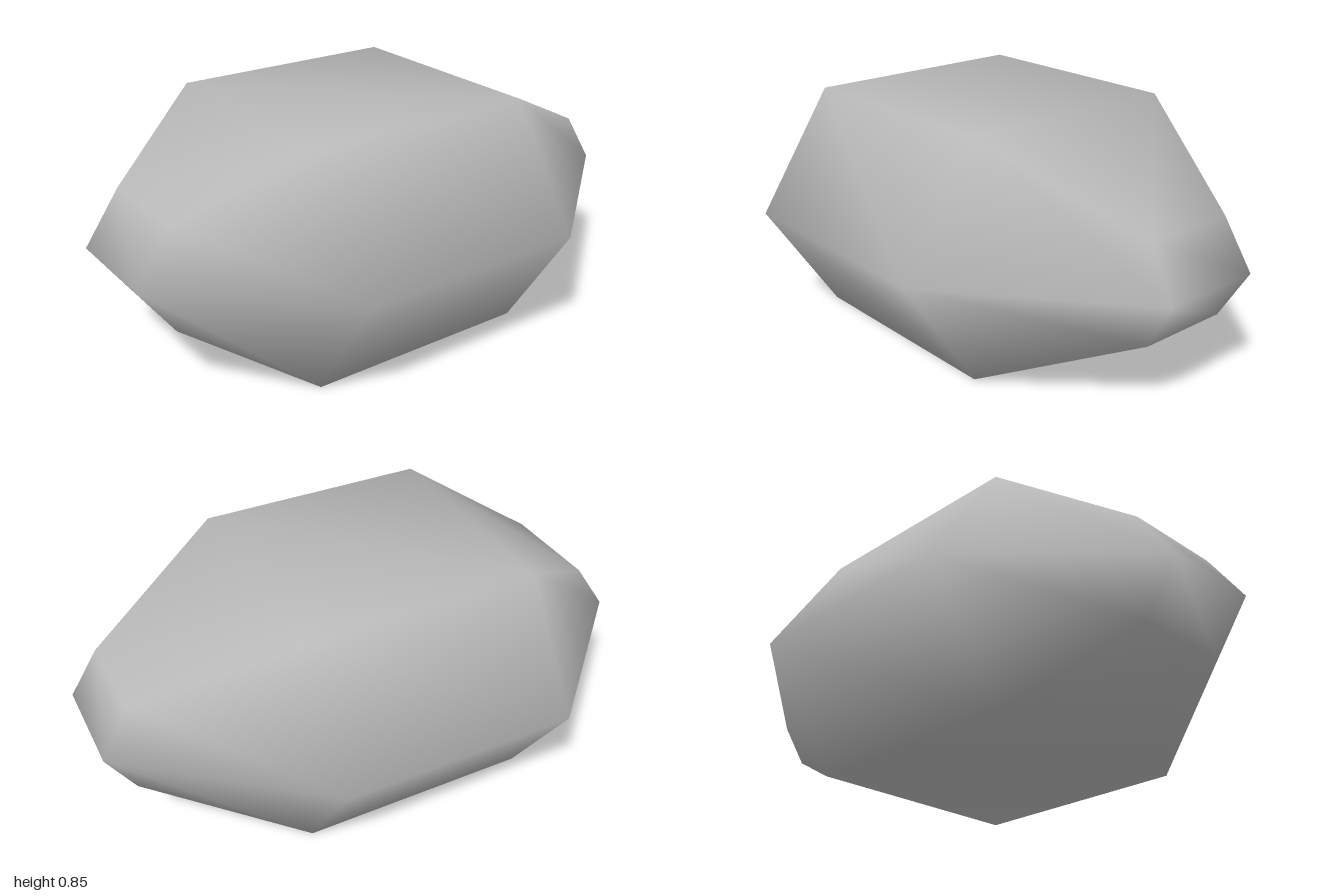
import * as THREE from 'three';

// Hexagonal cross-section: flat top and bottom, ridges at mid height.
// x of the flats, x of the ridges, bottom y, top y, half depth of flats, half depth of ridges
const MID = 0.423;
function ring(xFlat, xRidge, bottom, top, zFlat, zRidge) {
  return [
    [xFlat, top, zFlat], [xRidge, MID, zRidge], [xFlat, bottom, zFlat],
    [xFlat, bottom, -zFlat], [xRidge, MID, -zRidge], [xFlat, top, -zFlat],
  ];
}

export function createModel() {
  const group = new THREE.Group();
  group.name = 'rock';
  const stone = new THREE.MeshStandardMaterial({ color: 0xb8b8b8 });
  stone.name = 'stone grey';

  const rings = [
    ring(-0.87, -1, 0.24, 0.61, 0.19, 0.19),
    ring(-0.475, -0.475, 0, 0.845, 0.423, 0.703),
    ring(0.37, 0.37, 0, 0.845, 0.423, 0.703),
    ring(0.9, 1, 0.25, 0.597, 0.17, 0.19),
  ];

  const index = [];
  const quad = (a, b, c, d) => index.push(a, b, c, a, c, d);

  // Flanks between neighbouring cross-sections
  for (let i = 0; i < rings.length - 1; i++) {
    for (let j = 0; j < 6; j++) {
      const k = (j + 1) % 6;
      quad(i * 6 + j, i * 6 + k, i * 6 + 6 + k, i * 6 + 6 + j);
    }
  }

  // Wedge-shaped ends, upper and lower facet each
  const e = (rings.length - 1) * 6;
  quad(e, e + 1, e + 4, e + 5);
  quad(e + 1, e + 2, e + 3, e + 4);
  quad(5, 4, 1, 0);
  quad(4, 3, 2, 1);

  // Shared vertices give the soft shading across the facets
  const geometry = new THREE.BufferGeometry();
  geometry.setAttribute('position', new THREE.Float32BufferAttribute(rings.flat(2), 3));
  geometry.setIndex(index);
  geometry.computeVertexNormals();

  const body = new THREE.Mesh(geometry, stone);
  body.name = 'rockBody';
  group.add(body);
  return group;
}
